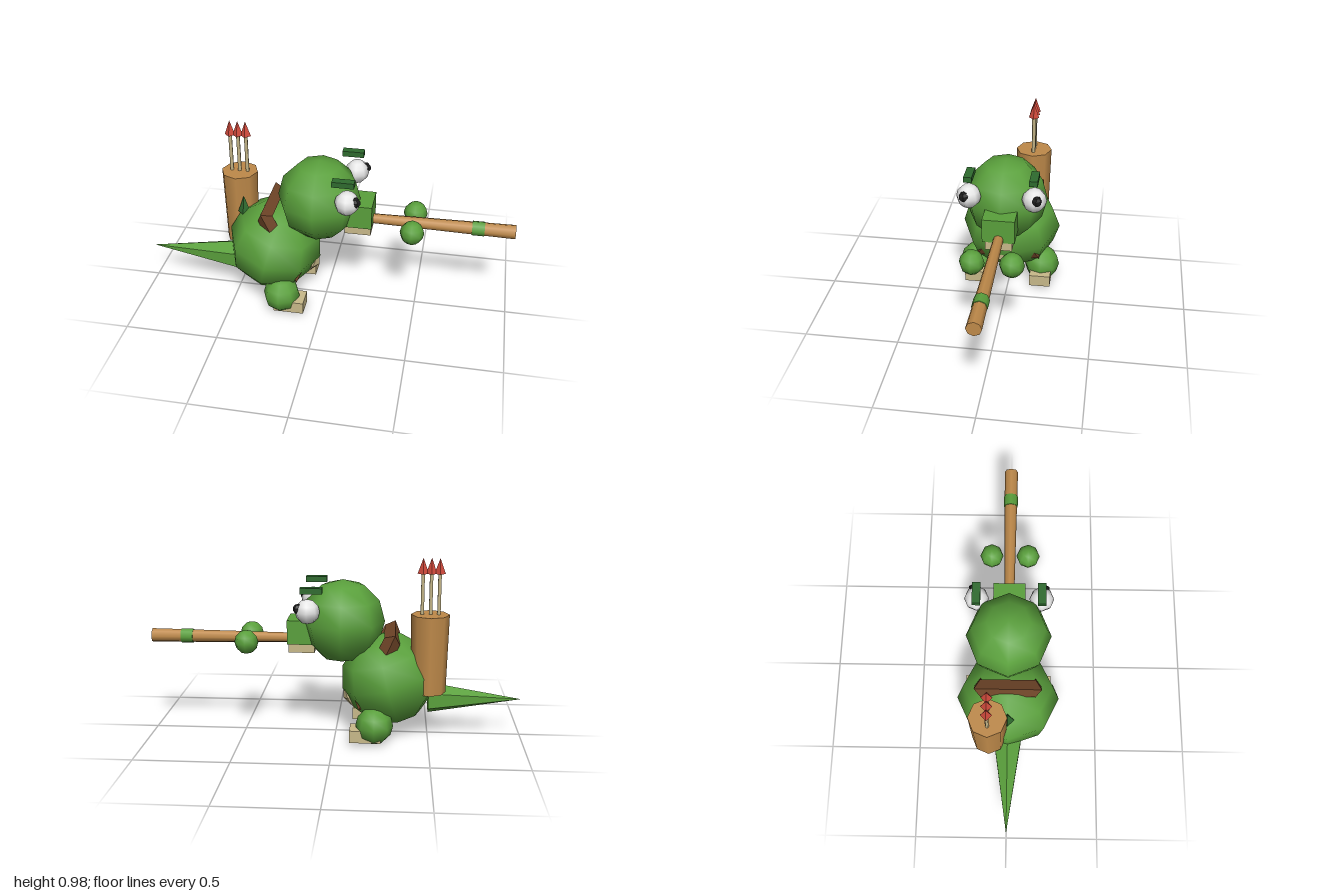
import * as THREE from 'three';

const mat = (name, color) => {
  const m = new THREE.MeshStandardMaterial({ color });
  m.name = name;
  return m;
};

export function createModel() {
  const green = mat('leaf green', 0x5aa03c);
  const darkGreen = mat('dark green', 0x2f6b2f);
  const tan = mat('pale tan', 0xc8b98a);
  const wood = mat('warm wood', 0xbf8a4a);
  const brown = mat('leather brown', 0x6e4427);
  const white = mat('eye white', 0xeeeeee);
  const black = mat('pupil black', 0x1c1c1c);
  const red = mat('arrow red', 0xd24a3c);

  const model = new THREE.Group();
  model.name = 'creature';

  const add = (name, geometry, material, x, y, z) => {
    const mesh = new THREE.Mesh(geometry, material);
    mesh.name = name;
    mesh.position.set(x, y, z);
    model.add(mesh);
    return mesh;
  };
  const ball = (r, w = 8, h = 6) => new THREE.SphereGeometry(r, w, h);
  const box = (x, y, z) => new THREE.BoxGeometry(x, y, z);
  // Faceted version of a geometry
  const flat = (g) => {
    const f = g.index ? g.toNonIndexed() : g;
    f.computeVertexNormals();
    return f;
  };

  // Body, leaning slightly forward, and head
  const body = add('body', ball(1), green, -0.286, 0.315, 0);
  body.scale.set(0.26, 0.249, 0.277);
  body.rotation.z = -0.26;
  add('head', ball(0.225), green, -0.037, 0.625, 0);

  // Diamond patch on the belly
  const patch = add('bellyPatch', flat(new THREE.OctahedronGeometry(1)), tan, -0.068, 0.205, 0);
  patch.scale.set(0.03, 0.07, 0.06);
  patch.rotation.z = -0.4;

  // Tail
  add('tail', flat(new THREE.ConeGeometry(0.085, 0.5, 6).rotateY(Math.PI / 2).rotateZ(Math.PI / 2)),
    green, -0.75, 0.205, 0);

  // Snout and lower jaw
  add('snout', box(0.15, 0.13, 0.17), green, 0.18, 0.575, 0);
  add('jaw', box(0.14, 0.05, 0.14), tan, 0.18, 0.487, 0);

  // Blowpipe with a green band
  const pipe = (r1, r0, length) =>
    new THREE.CylinderGeometry(r1, r0, length, 8).rotateZ(-Math.PI / 2);
  add('blowpipe', pipe(0.038, 0.026, 0.8), wood, 0.6, 0.528, 0);
  add('pipeBand', pipe(0.039, 0.039, 0.065), green, 0.808, 0.528, 0);

  // Mirrored parts
  for (const [side, s] of [['left', 1], ['right', -1]]) {
    add(side + 'Hand', ball(0.064), green, 0.47, 0.525, s * 0.1);
    add(side + 'Eye', ball(0.065), white, 0.137, 0.71, s * 0.17);
    add(side + 'Pupil', flat(ball(0.028, 6, 5)), black, 0.182, 0.727, s * 0.187);
    add(side + 'Brow', box(0.115, 0.03, 0.043), darkGreen, 0.117, 0.82, s * 0.168);
    add(side + 'Leg', ball(0.1), green, -0.215, 0.103, s * 0.185);
    add(side + 'Foot', box(0.165, 0.066, 0.117), tan, -0.168, 0.056, s * 0.185);
  }

  // Four-cornered strap around the body
  const strap = new THREE.TorusGeometry(0.205, 0.045, 4, 4)
    .rotateZ(Math.PI / 4).rotateY(Math.PI / 2).scale(1, 1.27, 1).rotateZ(0.43);
  add('strap', flat(strap), brown, -0.225, 0.385, 0);

  // Back spike
  add('backSpike', flat(new THREE.ConeGeometry(0.035, 0.1, 4)), darkGreen, -0.455, 0.54, 0);

  // Quiver with three arrows
  add('quiver', new THREE.CylinderGeometry(0.1, 0.09, 0.42, 8), wood, -0.498, 0.48, -0.1);
  for (const x of [-0.541, -0.498, -0.455]) {
    add('arrowShaft', new THREE.CylinderGeometry(0.01, 0.01, 0.3, 6), tan, x, 0.76, -0.1);
    add('arrowHead', flat(new THREE.ConeGeometry(0.029, 0.082, 4)), red, x, 0.944, -0.1);
  }

  return model;
}
